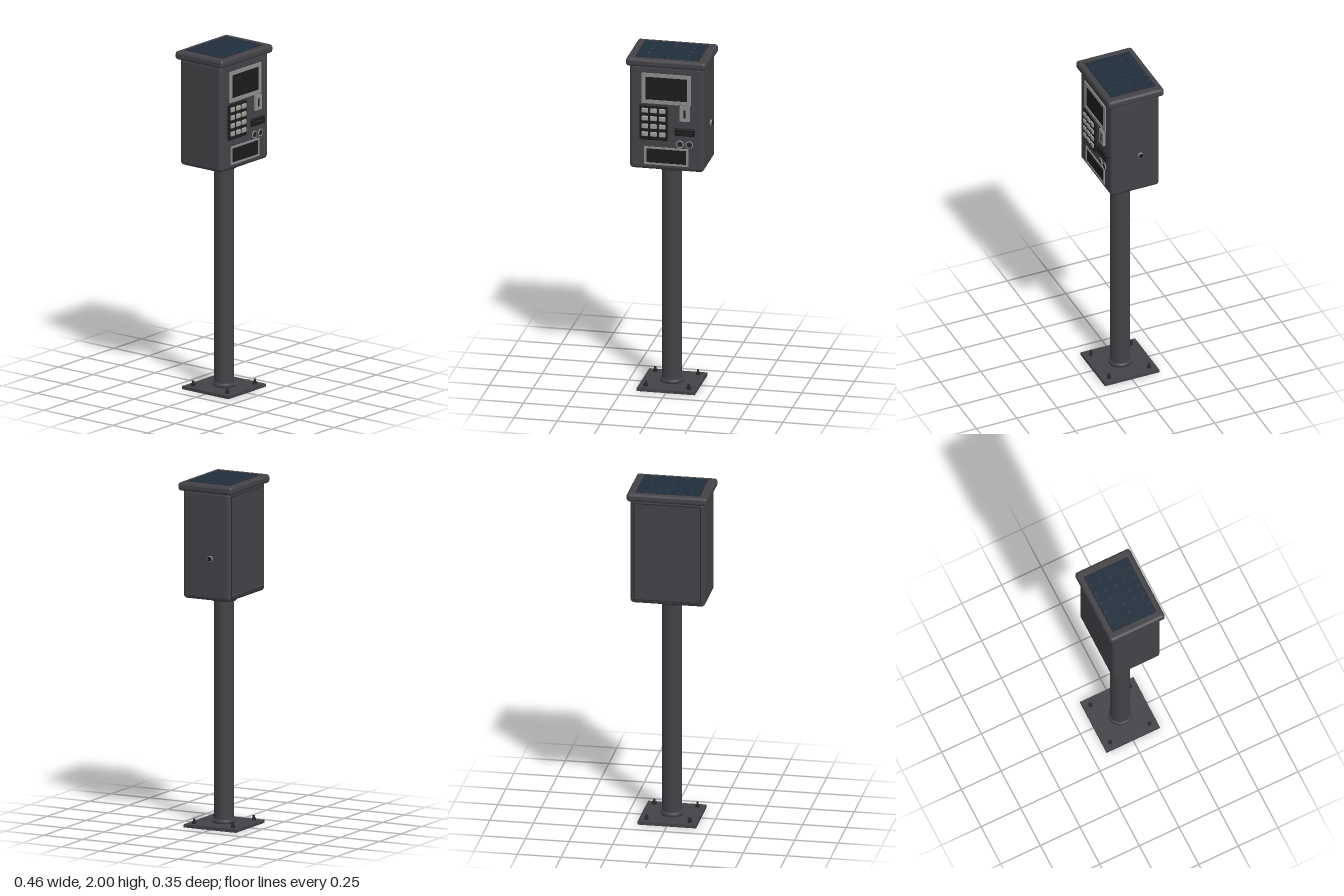
import * as THREE from 'three';
import { RoundedBoxGeometry } from 'three/addons/geometries/RoundedBoxGeometry.js';

const paint = (name, color) => {
  const m = new THREE.MeshStandardMaterial({ color });
  m.name = name;
  return m;
};

export function createModel() {
  const housing = paint('charcoal housing', 0x434247);
  const trim = paint('dark trim', 0x29292b);
  const black = paint('black glass', 0x1c1c1c);
  const silver = paint('brushed silver', 0x8e8e8e);
  const keyGrey = paint('key grey', 0x9c9c98);
  const solar = paint('solar navy', 0x202d3c);
  const cellMark = paint('cell mark', 0x45484c);

  const model = new THREE.Group();
  model.name = 'payStation';
  const add = (name, geo, mat, x, y, z, parent = model) => {
    const mesh = new THREE.Mesh(geo, mat);
    mesh.name = name;
    mesh.position.set(x, y, z);
    parent.add(mesh);
    return mesh;
  };
  const group = (name) => {
    const g = new THREE.Group();
    g.name = name;
    model.add(g);
    return g;
  };
  const box = (w, h, d) => new THREE.BoxGeometry(w, h, d);
  const round = (w, h, d, r, s = 4) => new RoundedBoxGeometry(w, h, d, s, r);
  const cyl = (r1, r2, h, n = 32) => new THREE.CylinderGeometry(r1, r2, h, n);

  // Rectangular frame with an opening, extruded along z
  const frame = (w, h, iw, ih, d) => {
    const s = new THREE.Shape([[-w, -h], [w, -h], [w, h], [-w, h]].map(([x, y]) => new THREE.Vector2(x / 2, y / 2)));
    s.holes.push(new THREE.Path([[-iw, -ih], [-iw, ih], [iw, ih], [iw, -ih]].map(([x, y]) => new THREE.Vector2(x / 2, y / 2))));
    return new THREE.ExtrudeGeometry(s, { depth: d, bevelEnabled: false });
  };

  // Base plate with four anchor bolts
  add('basePlate', box(0.336, 0.018, 0.336), housing, 0, 0.009, 0);
  const bolts = group('anchorBolts');
  for (const x of [-0.124, 0.124]) for (const z of [-0.124, 0.124]) {
    add('boltNut', cyl(0.013, 0.013, 0.014, 6), trim, x, 0.025, z, bolts);
    add('boltStud', cyl(0.006, 0.007, 0.016, 12), trim, x, 0.04, z, bolts);
  }

  // Post, foot ring and neck collar
  add('post', cyl(0.056, 0.056, 1.31, 48), housing, 0, 0.67, 0);
  add('footRing', new THREE.LatheGeometry(
    [[0.056, 0.018], [0.066, 0.018], [0.066, 0.03], [0.062, 0.038], [0.056, 0.04]].map(([x, y]) => new THREE.Vector2(x, y)), 48),
    housing, 0, 0, 0);
  add('neckCollar', new THREE.LatheGeometry(
    [[0.056, 1.295], [0.07, 1.298], [0.075, 1.306], [0.075, 1.34]].map(([x, y]) => new THREE.Vector2(x, y)), 48),
    housing, 0, 0, 0);

  // Cabinet, rear service door and overhanging cap
  add('cabinet', round(0.43, 0.63, 0.302, 0.024), housing, 0, 1.645, 0);
  add('doorSeam', box(0.386, 0.584, 0.004), trim, 0, 1.645, -0.1512);
  add('serviceDoor', box(0.376, 0.574, 0.006), housing, 0, 1.645, -0.152);
  add('cap', round(0.464, 0.049, 0.346, 0.018), housing, 0, 1.973, 0);

  // Solar panel set in the cap
  add('solarBorder', box(0.37, 0.004, 0.278), trim, 0, 1.9965, 0);
  add('solarPanel', box(0.36, 0.004, 0.268), solar, 0, 1.9975, 0);
  const marks = group('cellMarks');
  for (let i = 0; i < 5; i++) for (let j = 0; j < 5; j++) {
    const x = -0.12 + i * 0.06, z = -0.122 + j * 0.06;
    add('markAcross', box(0.018, 0.001, 0.002), cellMark, x, 1.9994, z, marks);
    add('markAlong', box(0.002, 0.001, 0.018), cellMark, x, 1.9994, z, marks);
  }

  // Display
  add('displayFrame', frame(0.286, 0.18, 0.24, 0.137, 0.01), silver, 0, 1.82, 0.148);
  add('displayGlass', box(0.242, 0.139, 0.006), black, 0, 1.818, 0.15);

  // Keypad: three columns by four rows
  const keypad = group('keypad');
  add('keypadPlate', round(0.164, 0.21, 0.016, 0.006, 2), black, -0.072, 1.615, 0.152, keypad);
  for (let c = 0; c < 3; c++) for (let r = 0; r < 4; r++) {
    add('key', round(0.038, 0.028, 0.014, 0.005, 2), keyGrey, -0.122 + c * 0.05, 1.688 - r * 0.047, 0.16, keypad);
  }

  // Coin slot
  add('coinPlate', box(0.055, 0.088, 0.016), silver, 0.108, 1.681, 0.157);
  add('coinOpening', box(0.01, 0.048, 0.002), black, 0.108, 1.681, 0.1655);

  // Card reader
  add('cardReader', round(0.116, 0.042, 0.02, 0.005, 2), black, 0.107, 1.57, 0.157);
  add('cardOpening', box(0.092, 0.005, 0.002), trim, 0.107, 1.572, 0.1668);

  // Two round push buttons with silver rings
  for (const x of [0.08, 0.134]) {
    add('buttonRing', new THREE.TorusGeometry(0.019, 0.0035, 8, 32), silver, x, 1.497, 0.157);
    add('buttonFace', cyl(0.018, 0.018, 0.01), trim, x, 1.497, 0.154).rotation.x = Math.PI / 2;
  }

  // Receipt tray
  add('trayFrame', frame(0.254, 0.106, 0.23, 0.084, 0.008), silver, 0, 1.416, 0.148);
  add('trayOpening', box(0.232, 0.086, 0.005), black, 0, 1.416, 0.15);

  // Side lock
  const lock = group('sideLock');
  add('lockBarrel', cyl(0.016, 0.016, 0.02, 24), silver, 0.216, 1.573, -0.03, lock).rotation.z = Math.PI / 2;
  add('lockFace', cyl(0.0135, 0.0135, 0.002, 24), black, 0.2265, 1.573, -0.03, lock).rotation.z = Math.PI / 2;

  return model;
}
